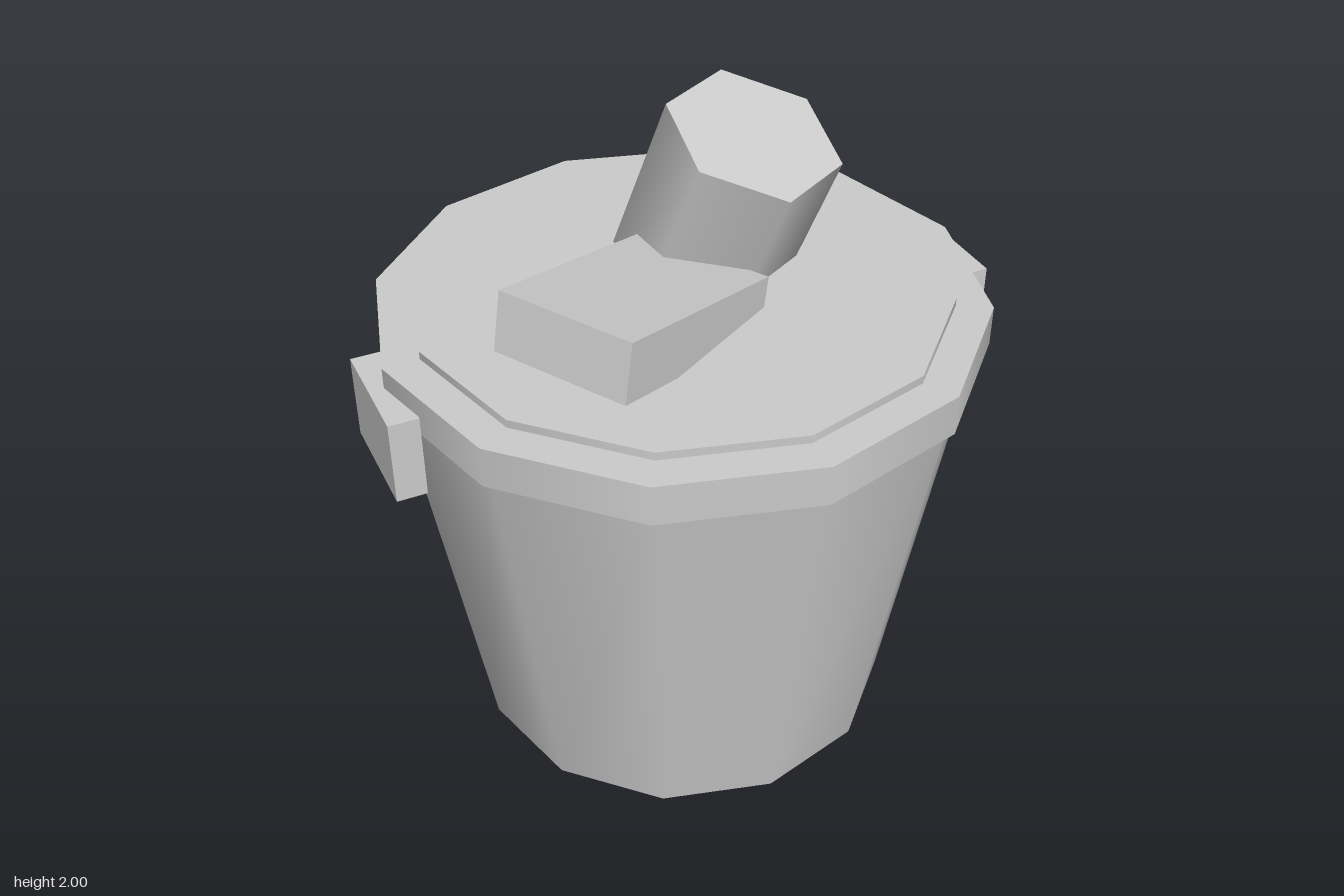
import * as THREE from 'three';

export function createModel() {
  const model = new THREE.Group();
  const material = new THREE.MeshStandardMaterial({ color: 0xcccccc });

  function add(name, geometry, x, y, z) {
    const mesh = new THREE.Mesh(geometry, material);
    mesh.name = name;
    mesh.position.set(x, y, z);
    model.add(mesh);
    return mesh;
  }

  // Upright twelve-sided drum between two heights
  function drum(name, topRadius, bottomRadius, y0, y1) {
    return add(name, new THREE.CylinderGeometry(topRadius, bottomRadius, y1 - y0, 12), 0, (y0 + y1) / 2, 0);
  }

  // Tapered bin, its rim and the surface of the contents
  drum('binBody', 0.9, 0.665, 0, 1.43);
  drum('rim', 0.91, 0.91, 1.32, 1.445);
  drum('contentsSurface', 0.8, 0.8, 1.38, 1.47);

  // Block handles on both sides
  for (const side of [1, -1]) {
    add(side > 0 ? 'leftHandle' : 'rightHandle', new THREE.BoxGeometry(0.09, 0.26, 0.355), side * 0.91, 1.25, 0);
  }

  // Box half sunk into the contents
  const box = add('discardedBox', new THREE.BoxGeometry(0.665, 0.18, 0.443), -0.224, 1.54, 0.174);
  box.rotation.set(0, Math.PI / 6, -0.2, 'YXZ');

  // Leaning six-sided can, hung from the centre of its top face
  const canLength = 0.7;
  const canGeometry = new THREE.CylinderGeometry(0.265, 0.265, canLength, 6).translate(0, -canLength / 2, 0);
  const can = add('discardedCan', canGeometry, 0.231, 1.911, -0.002);
  can.rotation.set(0.35, 0, -0.17, 'ZXY');

  return model;
}
